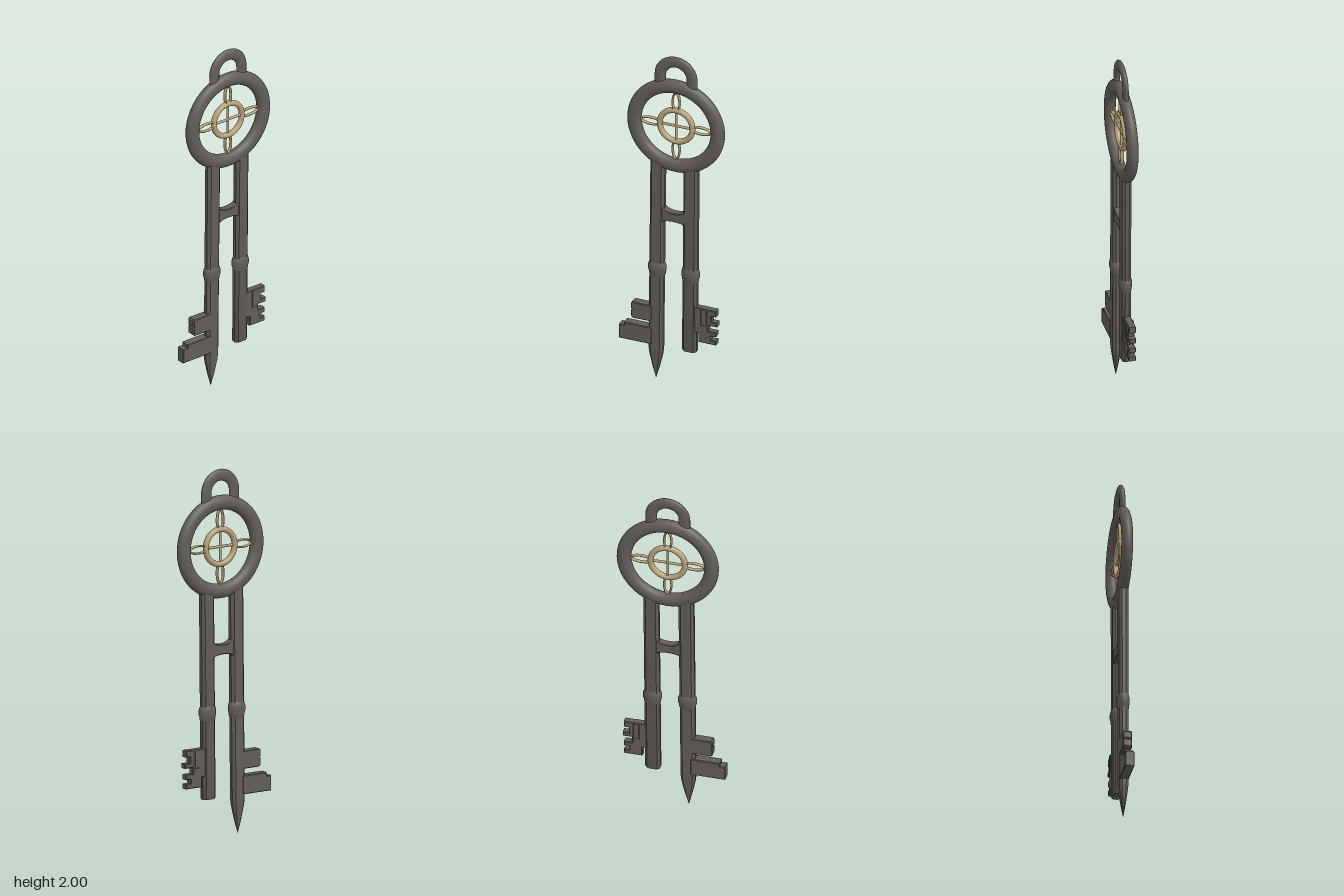
import * as THREE from 'three';
import { toCreasedNormals } from 'three/addons/utils/BufferGeometryUtils.js';

const CX = 0.02, CY = 1.577; // centre of the round bow

export function createModel() {
  const iron = new THREE.MeshStandardMaterial({ name: 'darkIron', color: 0x625d59 });
  const gold = new THREE.MeshStandardMaterial({ name: 'paleGold', color: 0xb7a27a });
  const model = new THREE.Group();
  model.name = 'twinKey';

  const add = (name, geometry, material, parent = model) => {
    const mesh = new THREE.Mesh(geometry, material);
    mesh.name = name;
    parent.add(mesh);
    return mesh;
  };

  // Eight-sided bar from [halfWidth, y] stations, with a broad front face and a slight lean
  const bar = (x, stations, depth, lean = 0) => {
    const pts = stations.map(([r, y]) => new THREE.Vector2(r / Math.cos(Math.PI / 8), y));
    const geo = new THREE.LatheGeometry(pts, 8, Math.PI / 8);
    const p = geo.attributes.position;
    for (let i = 0; i < p.count; i++) {
      let px = p.getX(i);
      const pz = p.getZ(i), y = p.getY(i);
      if (Math.abs(px) < Math.abs(pz)) px *= 1.6;
      p.setXYZ(i, px + x + lean * (y - 1.33), y, pz * depth);
    }
    return toCreasedNormals(geo, 0.6);
  };

  // Flat plate cut from an outline, with softened edges
  const plate = (outline, halfDepth) => {
    const b = 0.004;
    const geo = new THREE.ExtrudeGeometry(
      new THREE.Shape(outline.map(([x, y]) => new THREE.Vector2(x, y))),
      { depth: 2 * (halfDepth - b), bevelEnabled: true, bevelSize: b, bevelOffset: -b, bevelThickness: b, bevelSegments: 1 });
    return geo.translate(0, 0, b - halfDepth);
  };

  // Round bow
  const bow = add('bowRing', new THREE.TorusGeometry(0.241, 0.04, 20, 72), iron);
  bow.position.set(CX, CY, 0);
  bow.scale.z = 0.78;

  // Hanging loop: half ring with short legs
  const loop = new THREE.Group();
  loop.name = 'hangingLoop';
  loop.position.set(CX, 1.876, 0);
  loop.scale.z = 0.5;
  model.add(loop);
  add('loopArch', new THREE.TorusGeometry(0.092, 0.032, 14, 32, Math.PI), iron, loop);
  for (const s of [-1, 1]) {
    const leg = add('loopLeg', new THREE.CylinderGeometry(0.032, 0.032, 0.07, 14), iron, loop);
    leg.position.set(s * 0.092, -0.035, 0);
  }

  // Gold tracery: ring, cross and four petals
  const tracery = new THREE.Group();
  tracery.name = 'goldTracery';
  tracery.position.set(CX, CY, 0);
  model.add(tracery);
  add('innerRing', new THREE.TorusGeometry(0.095, 0.016, 12, 48), gold, tracery);
  for (let i = 0; i < 2; i++) {
    const rod = add('crossRod', new THREE.CylinderGeometry(0.0075, 0.0075, 0.19, 10), gold, tracery);
    rod.rotation.z = i * Math.PI / 2;
  }
  for (let i = 0; i < 4; i++) {
    const arm = new THREE.Group();
    arm.name = 'petalArm';
    arm.rotation.z = i * Math.PI / 2;
    tracery.add(arm);
    const curve = new THREE.CatmullRomCurve3(Array.from({ length: 16 }, (_, k) => {
      const a = k / 16 * Math.PI * 2;
      return new THREE.Vector3(0.02 * Math.cos(a), 0.144 + 0.057 * Math.sin(a), 0);
    }), true);
    const petal = add('petal', new THREE.TubeGeometry(curve, 40, 0.006, 8, true), gold, arm);
    petal.scale.z = 1.7;
  }

  // Two shafts: the left of the picture ends in a spike, the other is blunt
  add('spikeShaft', bar(-0.083, [[0, 0], [0.02, 0.075], [0.037, 0.155], [0.041, 0.19], [0.042, 1.36]], 0.6, 0.01), iron);
  add('bluntShaft', bar(0.11, [[0, 0.212], [0.038, 0.212], [0.042, 0.22], [0.042, 1.36]], 0.6, 0.009), iron);

  // Rounded collars
  for (const x of [-0.089, 0.104]) {
    const profile = [[0.041, 0.635], [0.047, 0.648], [0.047, 0.66], [0.052, 0.672], [0.052, 0.698], [0.047, 0.714], [0.041, 0.722]];
    const collar = add('collar', new THREE.LatheGeometry(profile.map(([r, y]) => new THREE.Vector2(r, y)), 24), iron);
    collar.position.x = x;
    collar.scale.z = 0.68;
  }

  // Bridge between shafts, flared where it meets them
  const bridge = new THREE.Shape();
  bridge.moveTo(-0.055, 0.975);
  bridge.quadraticCurveTo(-0.035, 0.992, 0.013, 0.992);
  bridge.quadraticCurveTo(0.06, 0.992, 0.08, 0.975);
  bridge.lineTo(0.08, 1.065);
  bridge.quadraticCurveTo(0.06, 1.045, 0.013, 1.045);
  bridge.quadraticCurveTo(-0.035, 1.045, -0.055, 1.075);
  add('bridge', plate(bridge.getPoints(8).map(v => [v.x, v.y]), 0.022), iron);

  // Stepped bits on the spiked shaft
  add('upperBit', plate([[-0.11, 0.352], [-0.222, 0.352], [-0.232, 0.362], [-0.232, 0.397], [-0.225, 0.403], [-0.232, 0.41],
    [-0.232, 0.442], [-0.225, 0.45], [-0.11, 0.45]], 0.025), iron);
  add('lowerBit', plate([[-0.11, 0.213], [-0.302, 0.213], [-0.302, 0.296], [-0.272, 0.296], [-0.272, 0.316], [-0.11, 0.316]], 0.026), iron);

  // Comb of teeth on the blunt shaft
  add('toothedBit', plate([[0.12, 0.34], [0.155, 0.34], [0.155, 0.285], [0.257, 0.285], [0.257, 0.312], [0.227, 0.312], [0.227, 0.336],
    [0.257, 0.336], [0.257, 0.364], [0.212, 0.364], [0.212, 0.398], [0.264, 0.398], [0.264, 0.424], [0.231, 0.424],
    [0.231, 0.458], [0.258, 0.458], [0.258, 0.495], [0.12, 0.495]], 0.02), iron);
  add('bitPanel', plate([[0.17, 0.392], [0.206, 0.392], [0.206, 0.493], [0.17, 0.493]], 0.024), iron);

  return model;
}
